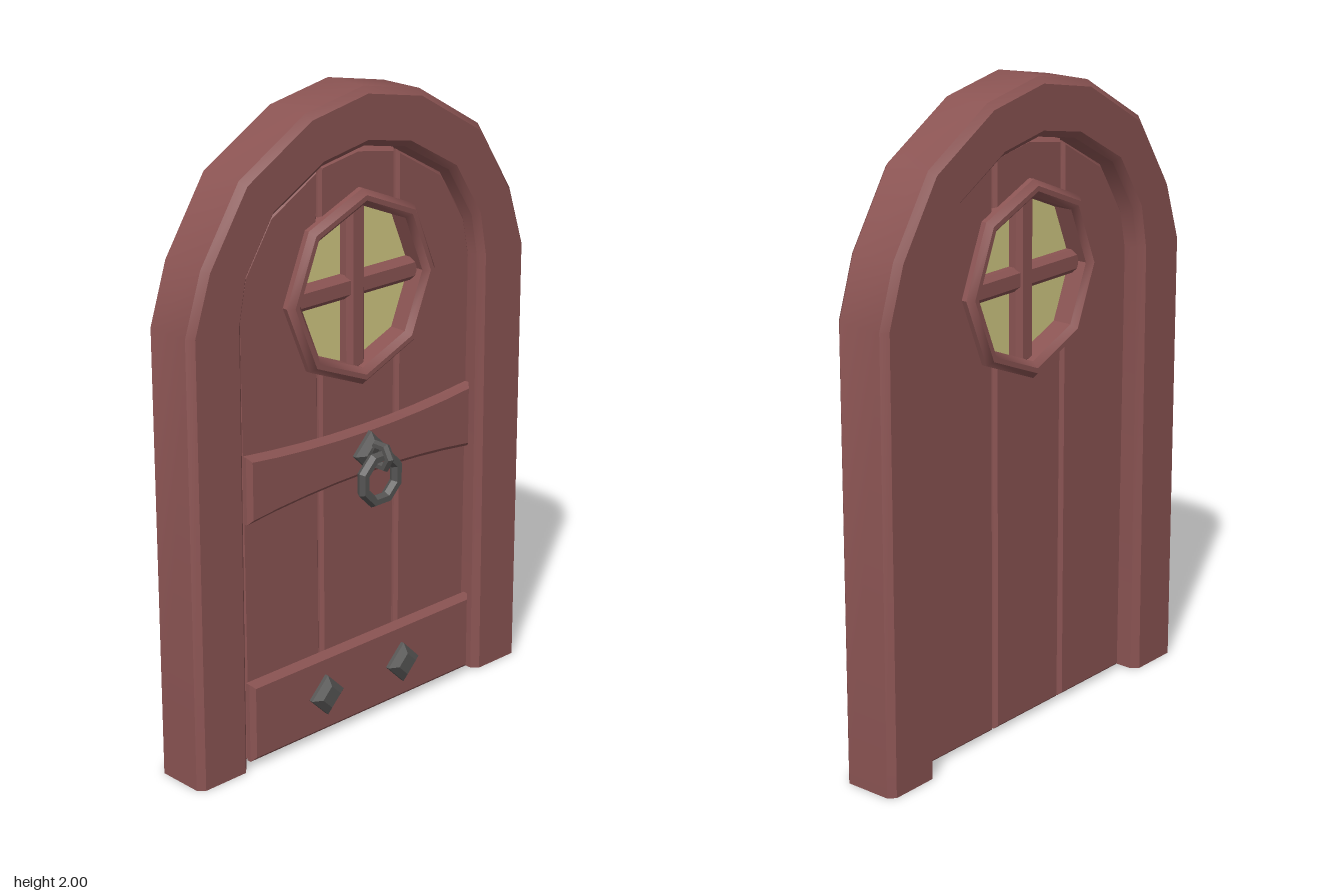
import * as THREE from 'three';
import { toCreasedNormals } from 'three/addons/utils/BufferGeometryUtils.js';

const wood = new THREE.MeshStandardMaterial({ color: 0x8b5453, side: THREE.DoubleSide });
wood.name = 'redWood';
const glass = new THREE.MeshStandardMaterial({ color: 0xd2c983 });
glass.name = 'yellowGlass';
const iron = new THREE.MeshStandardMaterial({ color: 0x555453, flatShading: true });
iron.name = 'darkIron';

// Sweeps a bevelled rectangle between matching outer and inner outlines (counterclockwise)
function bevelledSweep(outer, inner, back, front, bevel, closed) {
  const rings = outer.map((o, i) => {
    const O = new THREE.Vector2(...o), I = new THREE.Vector2(...inner[i]);
    const b = bevel / O.distanceTo(I);
    return [
      [1, front - bevel], [1 - b, front], [b, front], [0, front - bevel],
      [0, back + bevel], [b, back], [1 - b, back], [1, back + bevel],
    ].map(([t, z]) => [I.x + (O.x - I.x) * t, I.y + (O.y - I.y) * t, z]);
  });
  const pos = [];
  const count = closed ? rings.length : rings.length - 1;
  for (let i = 0; i < count; i++) {
    const p = rings[i], q = rings[(i + 1) % rings.length];
    for (let j = 0; j < 8; j++) {
      const k = (j + 1) % 8;
      pos.push(...p[j], ...q[j], ...p[k], ...p[k], ...q[j], ...q[k]);
    }
  }
  const g = new THREE.BufferGeometry();
  g.setAttribute('position', new THREE.Float32BufferAttribute(pos, 3));
  return toCreasedNormals(g, closed ? 0.6 : 0.55);
}

// Extrudes a shape between two depths with a bevel kept inside its outline
function slab(shape, back, front, bevel) {
  const g = new THREE.ExtrudeGeometry(shape, {
    depth: front - back - 2 * bevel, bevelEnabled: true, bevelSize: bevel,
    bevelThickness: bevel, bevelOffset: -bevel, bevelSegments: 1, curveSegments: 8,
  });
  g.translate(0, 0, back + bevel);
  return toCreasedNormals(g, 0.5);
}

const polygon = (pts) => new THREE.Shape(pts.map(([x, y]) => new THREE.Vector2(x, y)));
const rect = (x0, y0, x1, y1) => polygon([[x0, y0], [x1, y0], [x1, y1], [x0, y1]]);
const flip = (pts) => pts.map(([x, y]) => [-x, y]).reverse();
const octagon = (r, cy) => Array.from({ length: 8 }, (_, i) => {
  const a = i * Math.PI / 4;
  return [r * Math.cos(a), cy + r * Math.sin(a)];
});

export function createModel() {
  const model = new THREE.Group();
  model.name = 'archedDoor';
  const add = (name, geometry, material, parent = model) => {
    const mesh = new THREE.Mesh(geometry, material);
    mesh.name = name;
    parent.add(mesh);
    return mesh;
  };

  // Arched frame, open at the feet
  const outer = [[0.68, 0], [0.68, 1.4], [0.62, 1.585], [0.475, 1.81], [0.225, 1.957]];
  const inner = [[0.485, 0], [0.48, 1.4], [0.455, 1.53], [0.352, 1.69], [0.165, 1.795]];
  add('frame', bevelledSweep(
    [...outer, [0, 2], ...flip(outer)], [...inner, [0, 1.825], ...flip(inner)],
    -0.143, 0.045, 0.02, false), wood);

  // Planks, cut out around the window
  const back = -0.09, front = 0.005;
  const side = [
    [0.16, 0.01], [0.465, 0.01], [0.472, 1.4], [0.447, 1.52], [0.345, 1.678], [0.16, 1.782],
    [0.16, 1.604], [0.191, 1.591], [0.27, 1.4], [0.191, 1.209], [0.16, 1.196],
  ];
  add('leftPlank', slab(polygon(side), back, front, 0.01), wood);
  add('rightPlank', slab(polygon(flip(side)), back, front, 0.01), wood);
  add('middlePlankLower', slab(polygon(
    [[-0.153, 0.01], [0.151, 0.01], [0.151, 1.193], [0, 1.13], [-0.153, 1.193]]), back, front, 0.01), wood);
  add('middlePlankUpper', slab(polygon(
    [[0, 1.67], [0.151, 1.607], [0.151, 1.789], [0, 1.815], [-0.153, 1.789], [-0.153, 1.607]]),
    back, front, 0.01), wood);

  // Round window: ring, pane and crossed bars
  const windowGroup = new THREE.Group();
  windowGroup.name = 'window';
  model.add(windowGroup);
  add('windowRing', bevelledSweep(octagon(0.3, 1.4), octagon(0.248, 1.4), -0.125, 0.04, 0.018, true),
    wood, windowGroup);
  add('windowPane', slab(polygon(octagon(0.27, 1.4)), -0.044, -0.036, 0.001), glass, windowGroup);
  add('uprightBar', slab(rect(-0.036, 1.14, 0.036, 1.66), -0.085, 0.005, 0.015), wood, windowGroup);
  add('crossBar', slab(rect(-0.26, 1.364, 0.26, 1.436), -0.08, 0, 0.015), wood, windowGroup);

  // Cross boards: a straight lower one and a waisted upper one
  add('lowerBoard', slab(rect(-0.467, 0.015, 0.463, 0.272), -0.005, 0.038, 0.014), wood);
  const waisted = new THREE.Shape();
  waisted.moveTo(-0.465, 0.783);
  waisted.quadraticCurveTo(0, 0.842, 0.455, 0.783);
  waisted.lineTo(0.455, 0.993);
  waisted.quadraticCurveTo(0, 0.94, -0.465, 0.993);
  add('upperBoard', slab(waisted, -0.005, 0.038, 0.014), wood);

  // Diamond studs and the knocker mount
  const diamond = (name, x, y) => {
    const g = new THREE.CylinderGeometry(0.036, 0.066, 0.018, 4);
    g.translate(0, 0.022, 0);
    const mesh = add(name, g, iron);
    mesh.rotation.x = Math.PI / 2;
    mesh.position.set(x, y, 0.037);
    const rim = add(name + 'Base', new THREE.CylinderGeometry(0.066, 0.066, 0.018, 4), iron, mesh);
    rim.position.y = 0.004;
  };
  diamond('rightStud', -0.172, 0.143);
  diamond('leftStud', 0.153, 0.143);
  diamond('knockerMount', 0.01, 0.889);

  // Knocker: small upright loop holding a hanging ring
  const loop = add('knockerLoop', new THREE.TorusGeometry(0.036, 0.015, 6, 6), iron);
  loop.rotation.y = Math.PI / 2;
  loop.position.set(0.01, 0.888, 0.092);
  const ring = add('knockerRing', new THREE.TorusGeometry(0.073, 0.019, 6, 8), iron);
  ring.rotation.z = Math.PI / 8;
  ring.position.set(0.005, 0.818, 0.091);

  return model;
}
